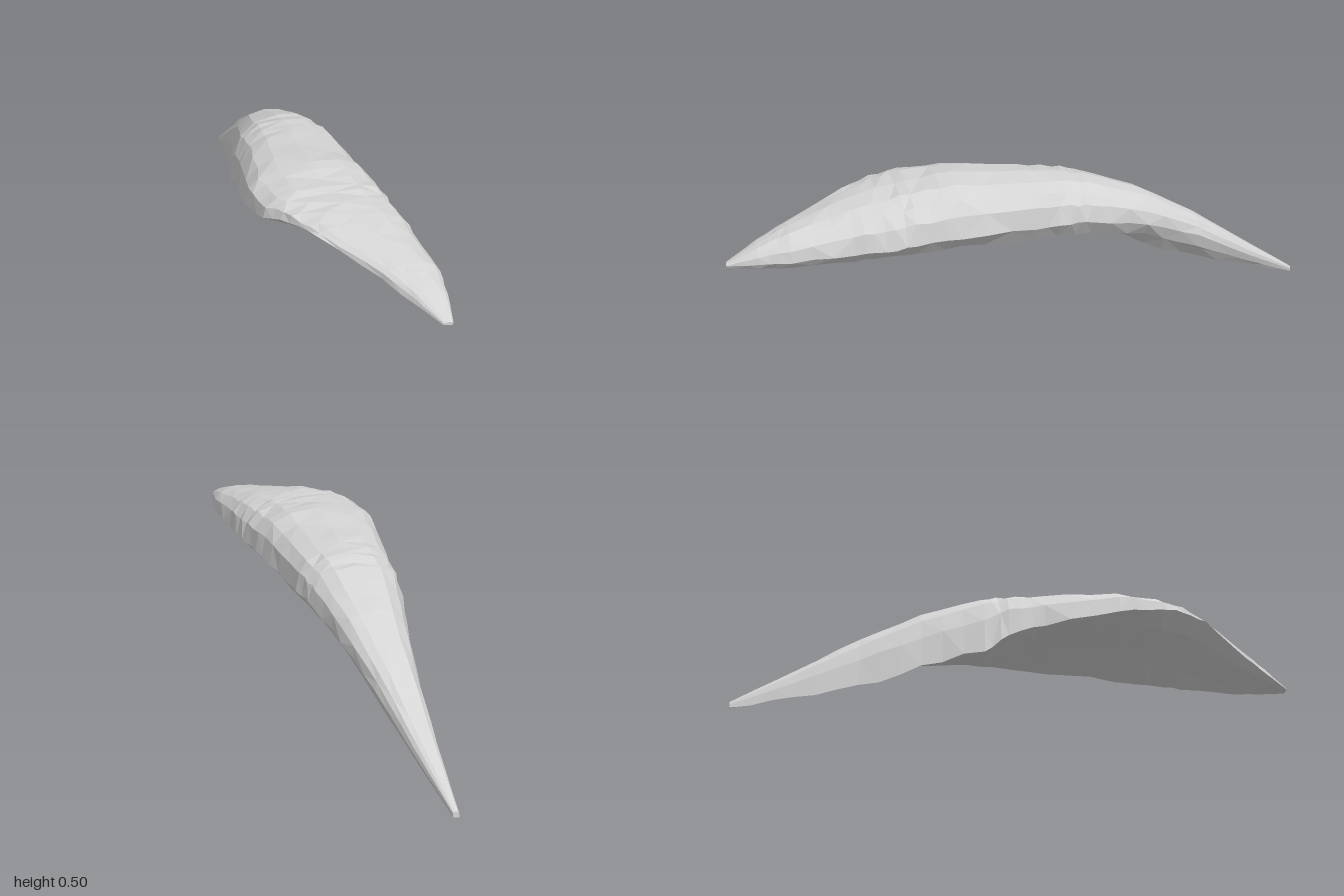
import * as THREE from 'three';

// Stations from front tip to back tip:
// z, left rim x y, crest x y, right rim x y, right underside y, mid underside y
const STATIONS = [
  [1, 0.14, 0.318, 0.155, 0.325, 0.17, 0.32, 0.314, 0.316],
  [0.9, 0.085, 0.345, 0.14, 0.375, 0.2, 0.325, 0.308, 0.323],
  [0.8, 0.03, 0.375, 0.11, 0.41, 0.22, 0.33, 0.305, 0.333],
  [0.6, -0.1, 0.43, 0.04, 0.457, 0.222, 0.335, 0.3, 0.355],
  [0.5, -0.155, 0.435, 0.02, 0.473, 0.221, 0.337, 0.3, 0.36],
  [0.4, -0.205, 0.41, 0, 0.485, 0.218, 0.34, 0.3, 0.358],
  [0.25, -0.223, 0.375, 0, 0.497, 0.209, 0.345, 0.3, 0.35],
  [0, -0.17, 0.32, 0.02, 0.487, 0.199, 0.35, 0.297, 0.335],
  [-0.12, -0.155, 0.28, 0.03, 0.477, 0.192, 0.35, 0.295, 0.318],
  [-0.2, -0.146, 0.21, 0.03, 0.463, 0.183, 0.345, 0.29, 0.3],
  [-0.4, -0.083, 0.155, 0.05, 0.4, 0.16, 0.307, 0.26, 0.245],
  [-0.6, -0.035, 0.09, 0.05, 0.292, 0.128, 0.228, 0.18, 0.165],
  [-0.8, 0, 0.045, 0.045, 0.157, 0.09, 0.117, 0.09, 0.09],
  [-1, 0.028, 0, 0.04, 0.024, 0.05, 0.016, 0.005, 0.008],
];
const STEPS = 3; // rows per station gap
const ARC = 4; // facets on each side of the crest

let seed = 7;
function jitter(amount) {
  seed = (seed * 16807) % 2147483647;
  return (seed / 2147483647 - 0.5) * 2 * amount;
}

// One closed section: left rim, over the crest, right rim, back along the underside
function section([z, xl, yl, xt, yt, xr, yr, yb, ym]) {
  const points = [];
  const arc = (x, y, t) => {
    const a = (t * Math.PI) / 2;
    points.push([
      xt + (x - xt) * Math.pow(Math.abs(Math.cos(a)), 0.78),
      y + (yt - y) * Math.pow(Math.sin(a), 0.78),
    ]);
  };
  for (let i = 0; i < ARC; i++) arc(xl, yl, i / ARC);
  points.push([xt, yt]);
  for (let i = ARC - 1; i >= 0; i--) arc(xr, yr, i / ARC);
  const w = xr - xl;
  points.push([xr - w * 0.1, yb], [xr - w * 0.3, (yb + ym) / 2]);
  points.push([xr - w * 0.55, ym], [xl + w * 0.2, ym * 0.6 + yl * 0.4]);
  const rough = Math.abs(z) > 0.99 ? 0 : 0.012 * w;
  points.forEach((p, i) => {
    p[0] += jitter(rough);
    p[1] += jitter(rough);
    // ragged hanging edge along the rear left
    if (i === 0 && z < -0.1 && z > -0.95) p[1] += jitter(0.008);
  });
  return points.map(([x, y]) => [x, y, z]);
}

function shellGeometry() {
  const rows = [];
  for (let s = 0; s < STATIONS.length - 1; s++) {
    for (let k = 0; k < STEPS; k++) {
      rows.push(section(STATIONS[s].map((v, i) => THREE.MathUtils.lerp(v, STATIONS[s + 1][i], k / STEPS))));
    }
  }
  rows.push(section(STATIONS[STATIONS.length - 1]));

  const n = rows[0].length;
  const positions = rows.flat(2);
  const index = [];
  for (let r = 0; r < rows.length - 1; r++) {
    for (let j = 0; j < n; j++) {
      const a = r * n + j;
      const b = r * n + ((j + 1) % n);
      // alternate diagonals for irregular facets
      if ((r + j) % 2) index.push(a, b, a + n, b, b + n, a + n);
      else index.push(a, b, b + n, a, b + n, a + n);
    }
  }
  // close both tips
  const last = (rows.length - 1) * n;
  for (let j = 1; j < n - 1; j++) {
    index.push(0, j + 1, j);
    index.push(last, last + j, last + j + 1);
  }
  const geometry = new THREE.BufferGeometry();
  geometry.setAttribute('position', new THREE.Float32BufferAttribute(positions, 3));
  geometry.setIndex(index);
  geometry.computeVertexNormals();
  return geometry;
}

export function createModel() {
  const group = new THREE.Group();
  group.name = 'curvedShard';
  const stone = new THREE.MeshStandardMaterial({ color: 0xd4d4d4, flatShading: true });
  stone.name = 'pale grey';
  const shell = new THREE.Mesh(shellGeometry(), stone);
  shell.name = 'archedShell';
  group.add(shell);
  return group;
}
